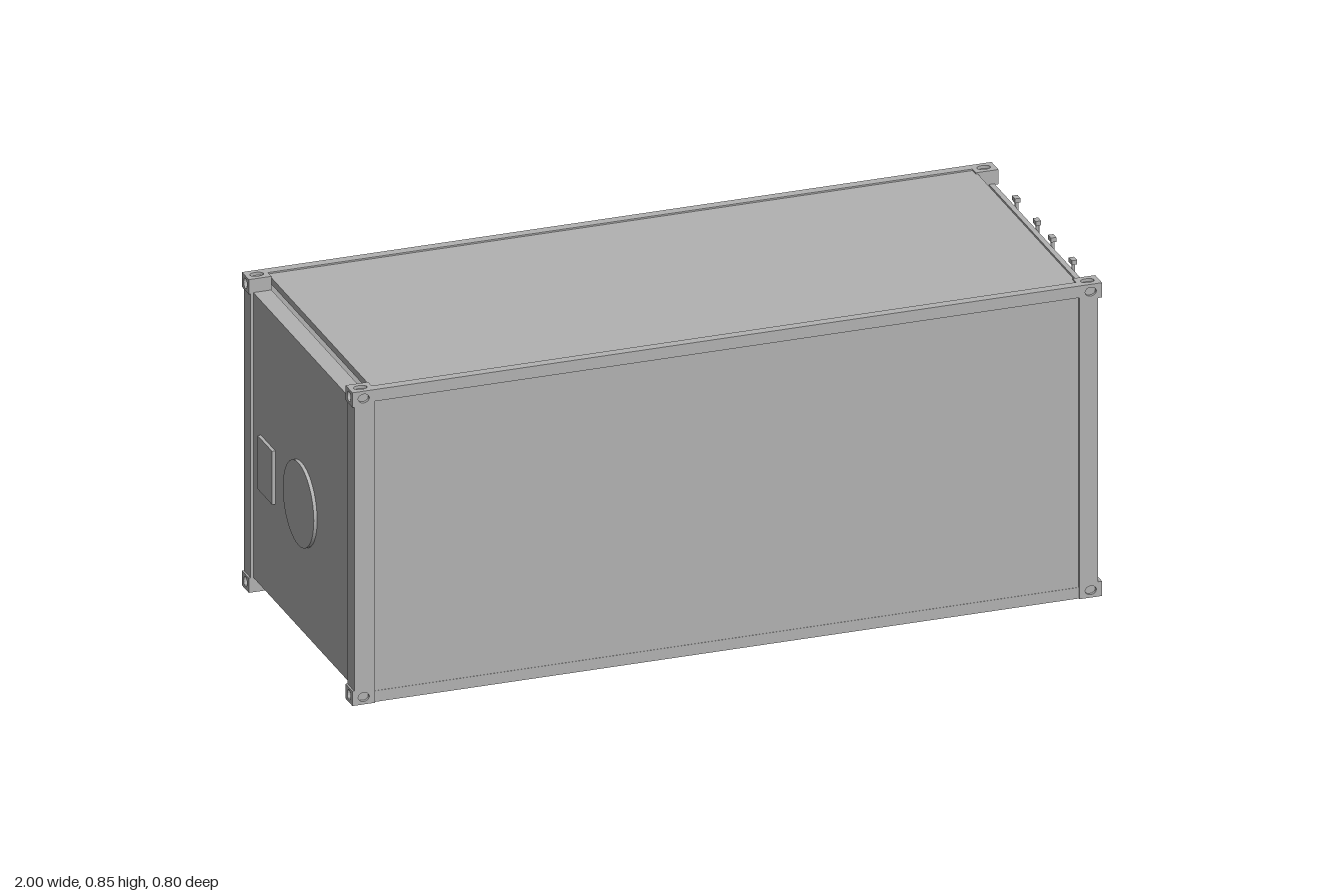
import * as THREE from 'three';

export function createModel() {
  const model = new THREE.Group();
  const grey = new THREE.MeshStandardMaterial({ color: 0xb2b2b2 });
  grey.name = 'grey';

  const add = (name, geometry, parent = model) => {
    const mesh = new THREE.Mesh(geometry, grey);
    mesh.name = name;
    parent.add(mesh);
    return mesh;
  };
  const group = (name) => {
    const g = new THREE.Group();
    g.name = name;
    model.add(g);
    return g;
  };
  // box given by its limits on each axis
  const box = (name, x0, x1, y0, y1, z0, z1, parent) => {
    const mesh = add(name, new THREE.BoxGeometry(x1 - x0, y1 - y0, Math.abs(z1 - z0)), parent);
    mesh.position.set((x0 + x1) / 2, (y0 + y1) / 2, (z0 + z1) / 2);
    return mesh;
  };
  const rect = (Type, x0, x1, y0, y1) => new Type([[x0, y0], [x1, y0], [x1, y1], [x0, y1]]
    .map(([x, y]) => new THREE.Vector2(x, y)));

  // flat plate with an oval hole, centred on the origin and facing z
  const holedPlate = (w, h, rx, ry) => {
    const shape = rect(THREE.Shape, -w / 2, w / 2, -h / 2, h / 2);
    const hole = new THREE.Path();
    hole.absellipse(0, 0, rx, ry, 0, Math.PI * 2, true);
    shape.holes.push(hole);
    return new THREE.ExtrudeGeometry(shape, { depth: 0.008, bevelEnabled: false, curveSegments: 8 }).center();
  };

  // corner castings: a core with holed plates on the three outer sides
  const castings = group('cornerCastings');
  const endPlate = holedPlate(0.05, 0.04, 0.012, 0.014).rotateY(Math.PI / 2);
  const sidePlate = holedPlate(0.06, 0.04, 0.015, 0.012);
  const capPlate = holedPlate(0.06, 0.05, 0.018, 0.012).rotateX(Math.PI / 2);
  for (const sx of [-1, 1]) for (const sy of [-1, 1]) for (const sz of [-1, 1]) {
    const corner = new THREE.Group();
    corner.name = 'cornerCasting';
    corner.position.set(sx > 0 ? 0.96 : -0.97, sy > 0 ? 0.832 : 0.02, sz * 0.375);
    castings.add(corner);
    const core = add('castingCore', new THREE.BoxGeometry(0.052, 0.032, 0.042), corner);
    core.position.set(-sx * 0.004, -sy * 0.004, -sz * 0.004);
    add('castingEnd', endPlate, corner).position.x = sx * 0.026;
    add('castingSide', sidePlate, corner).position.z = sz * 0.021;
    add('castingCap', capPlate, corner).position.y = sy * 0.016;
  }

  // posts, rails and side walls
  for (const s of [-1, 1]) {
    box('rearPost', 0.93, 0.979, 0.035, 0.82, s * 0.35, s * 0.4);
    box('frontPost', -0.995, -0.94, 0.035, 0.82, s * 0.35, s * 0.4);
    box('topRail', -0.945, 0.935, 0.82, 0.852, s * 0.375, s * 0.4);
    box('bottomRail', -0.945, 0.935, 0, 0.03, s * 0.375, s * 0.395);
    box('sideWall', -0.945, 0.935, 0.025, 0.825, s * 0.377, s * 0.394);
  }
  box('roof', -0.94, 0.935, 0.83, 0.848, -0.376, 0.376);

  // closed end with a square hatch and a round cover
  box('endWall', -0.988, -0.94, 0.04, 0.815, -0.352, 0.352);
  box('squareHatch', -0.997, -0.985, 0.305, 0.45, -0.295, -0.19);
  const cover = add('roundCover', new THREE.CylinderGeometry(0.112, 0.112, 0.012, 40).rotateZ(Math.PI / 2));
  cover.position.set(-0.991, 0.385, 0);

  // doors: a sheet with pockets over a thin back sheet
  const pockets = [[0.06, 0.105], [0.187, 0.282], [0.35, 0.383], [0.443, 0.475], [0.545, 0.63], [0.705, 0.795]];
  for (const s of [-1, 1]) {
    const door = group(s > 0 ? 'leftDoor' : 'rightDoor');
    const shape = rect(THREE.Shape, -0.175, 0.175, 0.04, 0.815);
    for (const [y0, y1] of pockets) {
      const shift = s * 0.0085;
      shape.holes.push(rect(THREE.Path, -0.1565 - shift, 0.1565 - shift, y0, y1));
    }
    const sheet = add('doorSheet', new THREE.ExtrudeGeometry(shape, { depth: 0.01, bevelEnabled: false }), door);
    sheet.rotation.y = Math.PI / 2;
    sheet.position.set(0.969, 0, s * 0.175);
    box('doorBack', 0.965, 0.97, 0.04, 0.815, 0, s * 0.35, door);

    // hinges
    for (const y of [0.092, 0.317, 0.541, 0.765]) {
      const hinge = add('hinge', new THREE.CapsuleGeometry(0.0045, 0.022, 3, 8), door);
      hinge.position.set(0.979, y, s * 0.374);
    }

    // locking bars with guides and end cams
    for (const z of [0.055, 0.205]) {
      const bar = add('lockingBar', new THREE.CylinderGeometry(0.0048, 0.0048, 0.82, 10), door);
      bar.position.set(0.985, 0.428, s * z);
      for (const [y0, y1] of [[0.06, 0.097], [0.372, 0.386], [0.762, 0.796]]) {
        box('barBracket', 0.969, 0.9795, y0, y1, s * (z - 0.014), s * (z + 0.014), door);
        box('barGuide', 0.979, 0.991, y0 + 0.002, y1 - 0.002, s * (z - 0.006), s * (z + 0.006), door);
      }
      for (const y of [0.022, 0.832]) {
        box('barCam', 0.977, 0.991, y - 0.006, y + 0.006, s * (z - 0.011), s * (z + 0.011), door);
      }
    }

    // handles: hub, lever and catch
    for (const [y, hub, tip, grip] of [[0.26, 0.06, 0.168, 0.148], [0.2, 0.202, 0.096, 0.118]]) {
      box('handleHub', 0.979, 0.994, y - 0.013, y + 0.012, s * (hub - 0.011), s * (hub + 0.011), door);
      box('handleLever', 0.988, 0.995, y - 0.005, y + 0.005, s * hub, s * tip, door);
      box('handleCatch', 0.975, 1, y - 0.009, y + 0.009, s * (grip - 0.011), s * (grip + 0.011), door);
      box('catchPlate', 0.969, 0.987, y - 0.017, y + 0.021, s * (grip - 0.007), s * (grip + 0.007), door);
    }
  }
  box('placard', 0.969, 0.9795, 0.38, 0.463, -0.194, -0.08);

  return model;
}
